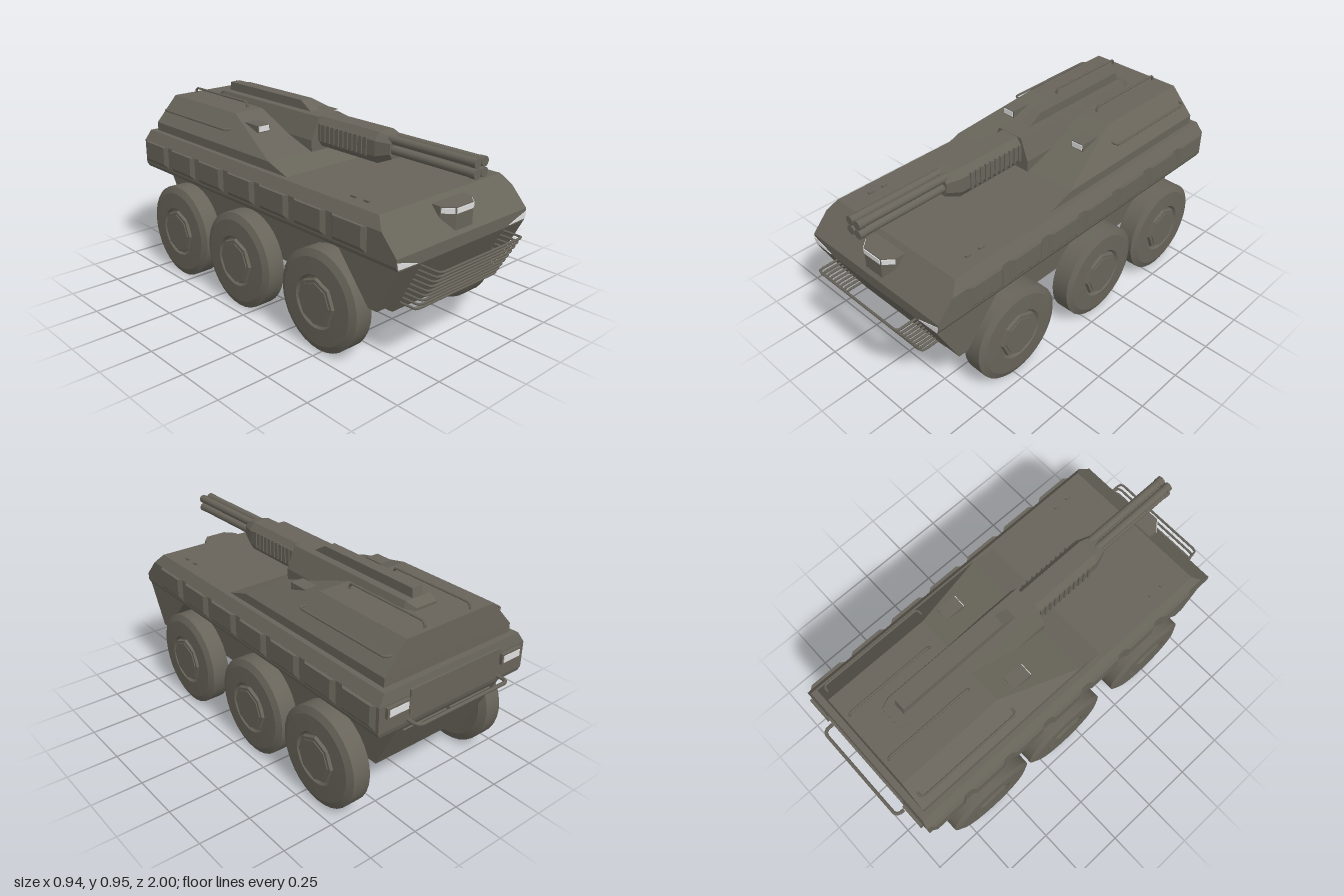
import * as THREE from 'three';
import { toCreasedNormals } from 'three/addons/utils/BufferGeometryUtils.js';

const armour = new THREE.MeshStandardMaterial({ color: 0x68645a });
armour.name = 'olive grey armour';
const lamp = new THREE.MeshStandardMaterial({ color: 0xdedede });
lamp.name = 'pale lamp glass';

export function createModel() {
  const model = new THREE.Group();

  const add = (name, geometry, x = 0, y = 0, z = 0, material = armour, parent = model) => {
    const mesh = new THREE.Mesh(geometry, material);
    mesh.name = name;
    mesh.position.set(x, y, z);
    parent.add(mesh);
    return mesh;
  };
  const box = (name, w, h, d, x, y, z, material) => add(name, new THREE.BoxGeometry(w, h, d), x, y, z, material);

  // Skin rings of points (counter-clockwise about the stacking axis) and cap the ends
  const loft = (rings) => {
    const out = [];
    const tri = (a, b, c) => out.push(...a, ...b, ...c);
    const n = rings[0].length;
    for (let r = 0; r < rings.length - 1; r++) {
      const a = rings[r], b = rings[r + 1];
      for (let i = 0; i < n; i++) {
        const j = (i + 1) % n;
        tri(a[i], a[j], b[j]);
        tri(a[i], b[j], b[i]);
      }
    }
    const first = rings[0], last = rings[rings.length - 1];
    for (let i = 1; i < n - 1; i++) {
      tri(first[0], first[i + 1], first[i]);
      tri(last[0], last[i], last[i + 1]);
    }
    const geometry = new THREE.BufferGeometry();
    geometry.setAttribute('position', new THREE.Float32BufferAttribute(out, 3));
    geometry.computeVertexNormals();
    return geometry;
  };
  // Stacked rectangles: [y, half width, front z, back z], lowest first
  const stack = (levels) => loft(levels.map(([y, w, f, b]) => [[w, y, f], [w, y, b], [-w, y, b], [-w, y, f]]));
  // Mirrored cross-section (right half, bottom to top) swept along z: [z, scale] about height cy
  const sweep = (half, stations, cy) => {
    const outline = [...half, ...half.map(([x, y]) => [-x, y]).reverse()];
    return loft(stations.map(([z, s]) => outline.map(([x, y]) => [x * s, cy + (y - cy) * s, z])));
  };
  // Bent rod through points, with small rounded corners
  const rod = (name, points, radius = 0.006, bend = 0.02) => {
    const p = points.map((q) => new THREE.Vector3(...q));
    const path = new THREE.CurvePath();
    let from = p[0];
    for (let i = 1; i < p.length - 1; i++) {
      const before = p[i].clone().add(p[i - 1].clone().sub(p[i]).setLength(bend));
      const after = p[i].clone().add(p[i + 1].clone().sub(p[i]).setLength(bend));
      path.add(new THREE.LineCurve3(from, before));
      path.add(new THREE.QuadraticBezierCurve3(before, p[i], after));
      from = after;
    }
    path.add(new THREE.LineCurve3(from, p[p.length - 1]));
    return add(name, new THREE.TubeGeometry(path, 40, radius, 6), 0, 0, 0);
  };

  // Hull
  add('upperHull', stack([
    [0.51, 0.412, 0.9, -0.925], [0.53, 0.422, 0.9, -0.93], [0.565, 0.422, 0.9, -0.93],
    [0.655, 0.422, 0.816, -0.93], [0.705, 0.39, 0.77, -0.92]]));
  add('lowerHull', stack([[0.24, 0.285, 0.76, -0.78], [0.51, 0.3, 0.899, -0.92]]));
  add('frontFender', stack([[0.295, 0.41, 0.79, 0.74], [0.51, 0.41, 0.9, 0.56]]));

  // Raised side armour panels with sloping edges
  for (const side of [1, -1]) {
    for (let i = 0; i < 7; i++) {
      const geometry = new THREE.BoxGeometry(0.024, 0.125, 0.225);
      const pos = geometry.attributes.position;
      for (let v = 0; v < pos.count; v++) {
        if (pos.getX(v) * side > 0) {
          pos.setZ(v, pos.getZ(v) * 0.72);
          if (pos.getY(v) < 0) pos.setY(v, -0.03);
        }
      }
      geometry.computeVertexNormals();
      add('sidePanel', geometry, side * 0.426, 0.592, 0.635 - i * 0.241);
    }
  }

  // Sloping cabin on the rear deck
  add('cabin', stack([
    [0.7, 0.364, 0.19, -0.89], [0.748, 0.364, 0.05, -0.89], [0.877, 0.248, -0.35, -0.885]]));

  // Gun mount, ridge and gun
  add('gunMount', sweep([[0.113, 0.745], [0.113, 0.8], [0.07, 0.907]],
    [[-0.74, 0.8], [-0.69, 1], [0.06, 1]], 0.82));
  add('mountRidge', stack([[0.9, 0.03, -0.03, -0.69], [0.95, 0.028, -0.115, -0.68]]));
  add('gunBody', sweep([[0.052, 0.765], [0.073, 0.8], [0.073, 0.87], [0.045, 0.906]],
    [[-0.1, 1], [0.43, 1], [0.5, 0.68]], 0.857));
  for (const side of [1, -1]) {
    for (let i = 0; i < 11; i++) {
      box('coolingRib', 0.01, 0.085, 0.014, side * 0.074, 0.836, 0.075 + i * 0.03);
    }
  }
  for (const x of [-0.023, 0.023]) {
    for (const y of [0.834, 0.88]) {
      const barrel = new THREE.CylinderGeometry(0.02, 0.02, 0.48, 14).rotateX(Math.PI / 2);
      add('barrel', barrel, x, y, 0.71);
      const muzzle = new THREE.CylinderGeometry(0.022, 0.022, 0.03, 14).rotateX(Math.PI / 2);
      add('muzzle', muzzle, x, y, 0.938);
    }
  }

  // Periscope on the nose, with three glass plates
  const plan = [[0.1, 0.77], [-0.1, 0.77], [-0.1, 0.835], [-0.055, 0.885], [0.055, 0.885], [0.1, 0.835]];
  const ring = (y) => plan.map(([x, z]) => [x, y, z]);
  add('periscope', loft([ring(0.575), ring(0.685)]));
  box('periscopeGlass', 0.104, 0.024, 0.006, 0, 0.668, 0.886, lamp);
  for (const side of [1, -1]) {
    const glass = box('periscopeSideGlass', 0.058, 0.024, 0.006, side * 0.078, 0.668, 0.861, lamp);
    glass.rotation.y = side * Math.atan2(0.05, 0.045);
  }

  // Ladder of bars guarding the sloping front
  for (let i = 0; i < 9; i++) {
    const y = 0.495 - i * 0.0255;
    const front = 0.994 - i * 0.0145;
    rod('frontBar', [[-0.27, y, front - 0.12], [-0.27, y, front], [0.27, y, front], [0.27, y, front - 0.12]]);
  }

  // Rear hatch, lower doors and bumper bar
  box('rearHatch', 0.52, 0.115, 0.012, 0, 0.62, -0.93);
  for (const side of [1, -1]) {
    const door = box('lowerRearDoor', 0.25, 0.22, 0.012, side * 0.135, 0.375, -0.851);
    door.rotation.x = -Math.atan2(0.14, 0.27);
  }
  rod('rearBar', [[-0.265, 0.54, -0.9], [-0.265, 0.54, -0.99], [0.265, 0.54, -0.99], [0.265, 0.54, -0.9]], 0.009, 0.03);

  // Mirrored lamps, rails and handles
  for (const s of [1, -1]) {
    const shape = new THREE.Shape([[0.421, 0.552], [0.33, 0.526], [0.3, 0.516], [0.414, 0.519]]
      .map(([x, y]) => new THREE.Vector2(s * x, y)));
    add('noseLamp', new THREE.ExtrudeGeometry(shape, { depth: 0.005, bevelEnabled: false }), 0, 0, 0.898, lamp);

    box('cabinLampHousing', 0.068, 0.05, 0.1, s * 0.223, 0.827, -0.21);
    box('cabinLamp', 0.06, 0.026, 0.006, s * 0.223, 0.835, -0.159, lamp);

    box('rearLampHousing', 0.12, 0.05, 0.03, s * 0.33, 0.622, -0.93);
    box('rearLamp', 0.1, 0.032, 0.006, s * 0.33, 0.622, -0.945, lamp);

    rod('sideRail', [[s * 0.29, 0.815, -0.32], [s * 0.335, 0.815, -0.32], [s * 0.335, 0.815, -0.86], [s * 0.29, 0.815, -0.86]]);
    rod('roofRail', [[s * 0.13, 0.85, -0.41], [s * 0.13, 0.904, -0.41], [s * 0.13, 0.904, -0.86], [s * 0.13, 0.87, -0.86]]);
    for (const z of [0.56, 0.635]) {
      box('deckHandle', 0.012, 0.012, 0.028, s * 0.322, 0.708, z);
    }
  }

  // Six wheels with octagonal hubs and stub axles
  const tyreProfile = [[0, -0.055], [0.2, -0.058], [0.238, -0.042], [0.238, 0.045],
    [0.205, 0.06], [0.125, 0.063], [0.115, 0.052], [0, 0.052]].map(([r, h]) => new THREE.Vector2(r, h));
  const tyre = toCreasedNormals(new THREE.LatheGeometry(tyreProfile, 32), 0.3);
  const flat = (geometry) => toCreasedNormals(geometry, 0.3);
  const hubRing = flat(new THREE.CylinderGeometry(0.108, 0.115, 0.02, 8));
  const hub = flat(new THREE.CylinderGeometry(0.092, 0.096, 0.02, 8));
  const axle = flat(new THREE.CylinderGeometry(0.036, 0.036, 0.12, 12));
  for (const side of [1, -1]) {
    for (const z of [0.476, -0.096, -0.59]) {
      const wheel = new THREE.Group();
      wheel.name = 'wheel';
      wheel.position.set(side * 0.402, 0.239, z);
      wheel.rotation.z = -side * Math.PI / 2;
      add('tyre', tyre, 0, 0, 0, armour, wheel);
      add('hubRing', hubRing, 0, 0.056, 0, armour, wheel);
      add('hub', hub, 0, 0.06, 0, armour, wheel);
      add('axle', axle, 0, -0.1, 0, armour, wheel);
      model.add(wheel);
      box('axleBracket', 0.07, 0.035, 0.09, side * 0.31, 0.22, z);
    }
  }

  return model;
}
